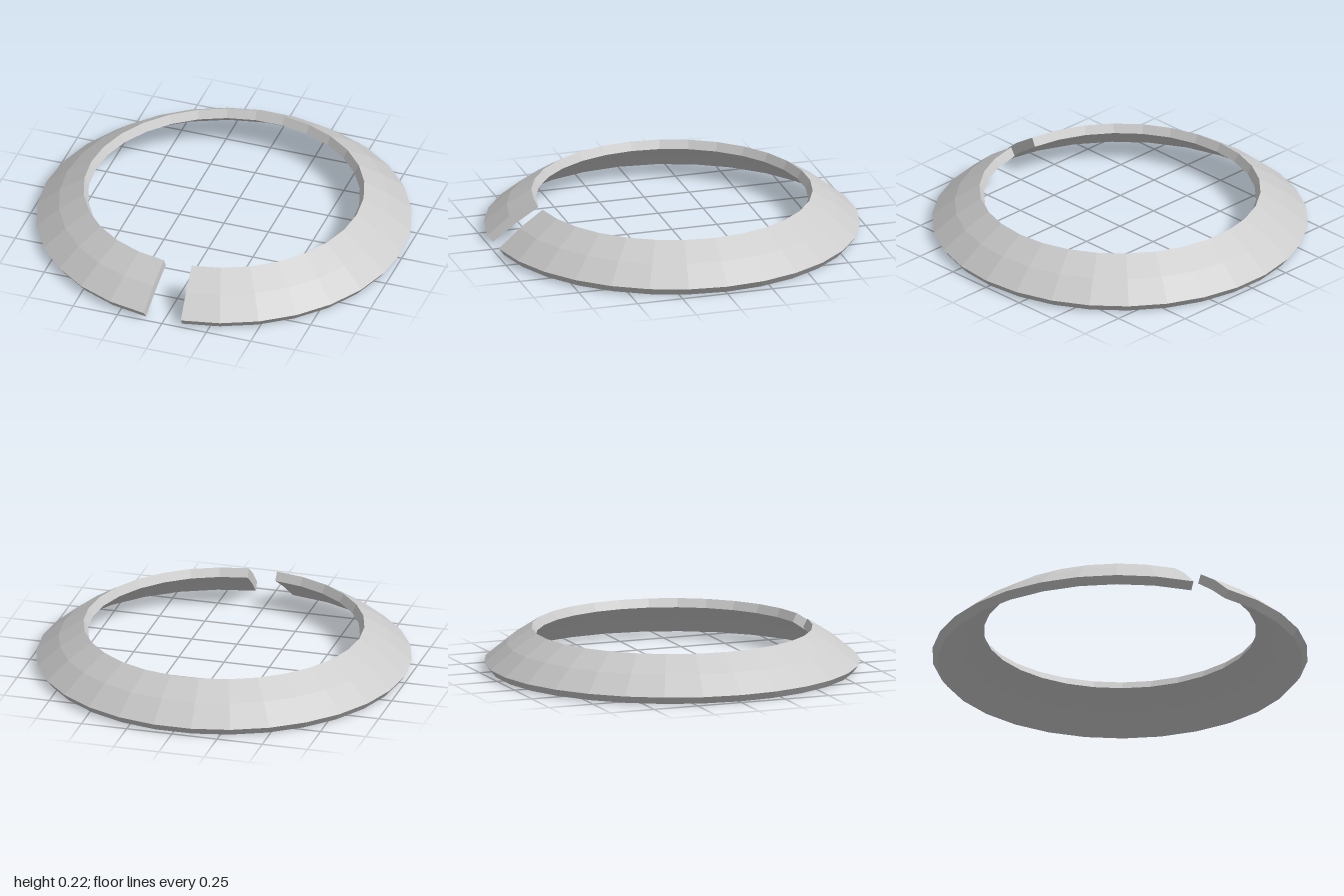
import * as THREE from 'three';

// Cross-section of the ring as (radius, height): outer face going up, inner face coming down
const PROFILE = [
  [0.97, 0], [1, 0.04], [0.88, 0.14], [0.748, 0.225],
  [0.724, 0.18], [0.85, 0.095],
].map(([r, y]) => new THREE.Vector2(r, y));

const SIDES = 30; // one side is left out as the gap
const STEP = (Math.PI * 2) / SIDES;

export function createModel() {
  const model = new THREE.Group();
  model.name = 'splitRing';
  const material = new THREE.MeshStandardMaterial({ color: 0xcccccc, flatShading: true });

  // Conical band, open at the front
  const band = new THREE.Mesh(
    new THREE.LatheGeometry([...PROFILE, PROFILE[0]], SIDES - 1, STEP / 2, STEP * (SIDES - 1)),
    material
  );
  band.name = 'conicalBand';
  model.add(band);

  // Flat ends on both sides of the gap, mirrored across x
  const endGeometry = new THREE.ShapeGeometry(new THREE.Shape(PROFILE));
  endGeometry.rotateY(STEP / 2 - Math.PI / 2);
  for (const side of [1, -1]) {
    const end = new THREE.Mesh(endGeometry, material);
    end.scale.x = side;
    end.name = side > 0 ? 'leftGapEnd' : 'rightGapEnd';
    model.add(end);
  }
  return model;
}
